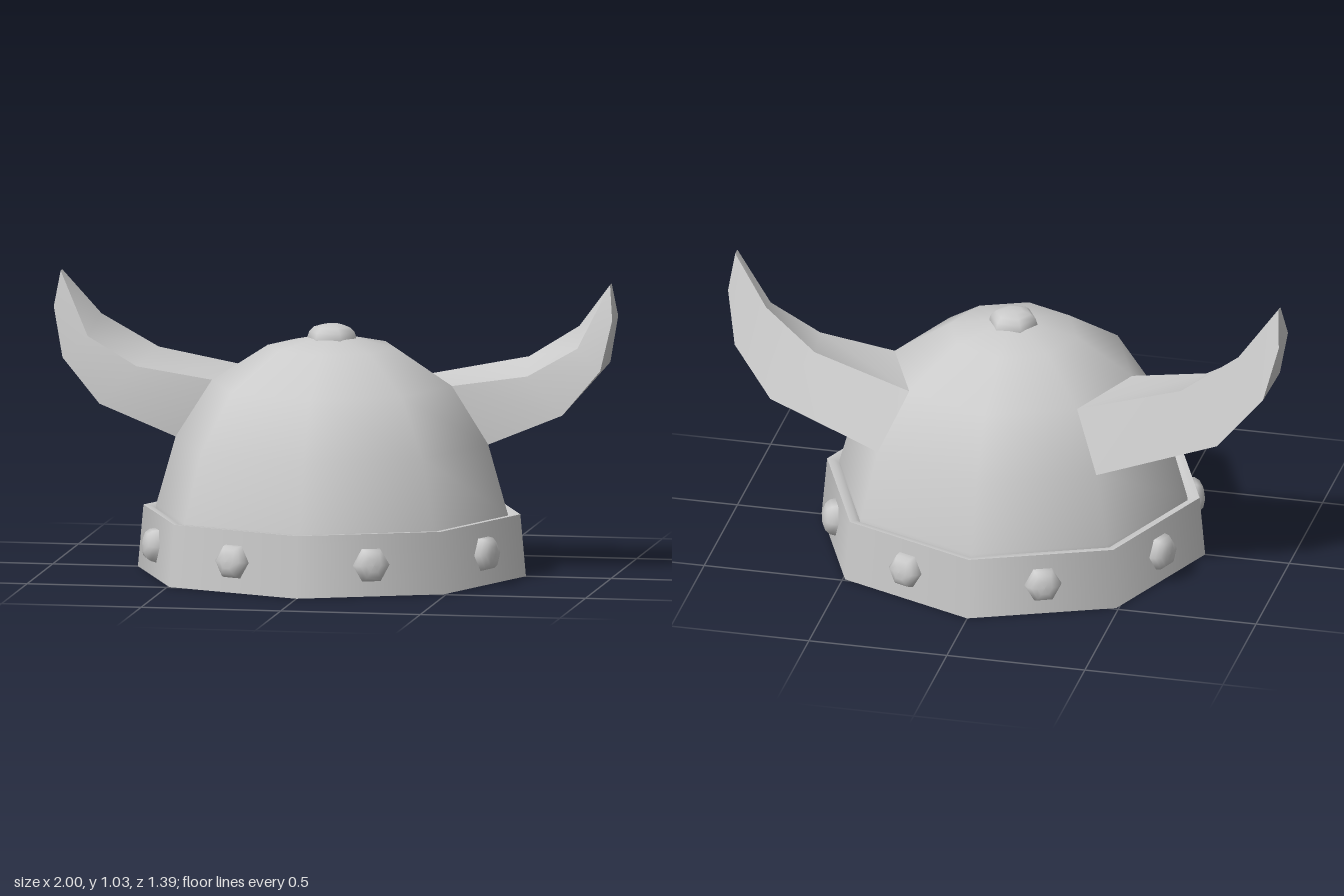
import * as THREE from 'three';
import { toCreasedNormals } from 'three/addons/utils/BufferGeometryUtils.js';

const grey = new THREE.MeshStandardMaterial({ color: 0xcccccc });

function addMesh(parent, name, geometry) {
  const mesh = new THREE.Mesh(geometry, grey);
  mesh.name = name;
  parent.add(mesh);
  return mesh;
}

// Revolve [radius, height] pairs; bottom-to-top profiles face outward
function revolve(points, sides = 8, start = 0) {
  const geometry = new THREE.LatheGeometry(points.map(([r, y]) => new THREE.Vector2(r, y)), sides, start);
  geometry.normalizeNormals();
  return geometry;
}

// Hexagonal domed stud along +y, corners pointing to +x and -x
function studGeometry(radius, height) {
  const points = [[1, -0.1], [1, 0.1], [0.93, 0.48], [0.73, 0.8], [0.4, 0.97], [0, 1]];
  return revolve(points.map(([r, y]) => [r * radius, y * height]), 6, Math.PI / 2);
}

// Loft four-cornered rings into a horn with a closed tip
function hornGeometry(rings, side) {
  const positions = [];
  const quad = (a, b, c, d) => {
    const corners = side > 0 ? [a, b, c, a, c, d] : [a, c, b, a, d, c];
    for (const [x, y, z] of corners) positions.push(x * side, y, z);
  };
  for (let i = 0; i < rings.length - 1; i++) {
    for (let j = 0; j < 4; j++) {
      const k = (j + 1) % 4;
      quad(rings[i][j], rings[i][k], rings[i + 1][k], rings[i + 1][j]);
    }
  }
  quad(...rings[rings.length - 1]);
  const geometry = new THREE.BufferGeometry();
  geometry.setAttribute('position', new THREE.Float32BufferAttribute(positions, 3));
  return toCreasedNormals(geometry, 0.8);
}

export function createModel() {
  const model = new THREE.Group();
  model.name = 'hornedHelmet';

  // Eight-sided dome and its hollow inside
  addMesh(model, 'dome', revolve([
    [0.632, 0.19], [0.63, 0.22], [0.56, 0.465], [0.43, 0.67], [0.23, 0.8], [0.08, 0.832], [0, 0.838],
  ]));
  addMesh(model, 'lining', revolve([
    [0, 0.825], [0.222, 0.785], [0.418, 0.658], [0.546, 0.457], [0.615, 0.22], [0.694, 0],
  ]));

  // Brow band with a ledge that rolls in towards the dome
  addMesh(model, 'band', revolve([[0.695, 0], [0.675, 0.22]]));
  addMesh(model, 'bandLedge', revolve([[0.675, 0.22], [0.65, 0.219], [0.63, 0.205]]));

  // Two studs per quarter, one on each band face
  const stud = studGeometry(0.066, 0.05);
  for (const face of [23, 68.5, 111.5, 157]) {
    for (const side of [1, -1]) {
      const pivot = new THREE.Group();
      pivot.name = 'bandStud';
      pivot.rotation.y = side * THREE.MathUtils.degToRad(face);
      const mesh = addMesh(pivot, 'stud', stud);
      mesh.position.set(0, 0.11, 0.629);
      mesh.rotation.x = Math.PI / 2 - 0.08;
      model.add(pivot);
    }
  }

  // Stud on the crown
  addMesh(model, 'crownStud', studGeometry(0.087, 0.05)).position.y = 0.83;

  // Horns: rings run bottom front, bottom back, top back, top front
  const rings = [
    [[0.56, 0.465, 0], [0.396, 0.465, -0.396], [0.304, 0.67, -0.304], [0.43, 0.67, 0]],
    [[0.829, 0.578, 0.022], [0.81, 0.578, -0.295], [0.663, 0.749, -0.235], [0.7, 0.711, 0]],
    [[0.963, 0.738, 0.012], [0.957, 0.738, -0.22], [0.856, 0.872, -0.168], [0.877, 0.813, -0.01]],
    [[1, 0.914, -0.02], [0.998, 0.914, -0.15], [0.984, 1.035, -0.1], [0.984, 1.035, -0.067]],
  ];
  addMesh(model, 'leftHorn', hornGeometry(rings, 1));
  addMesh(model, 'rightHorn', hornGeometry(rings, -1));

  return model;
}
